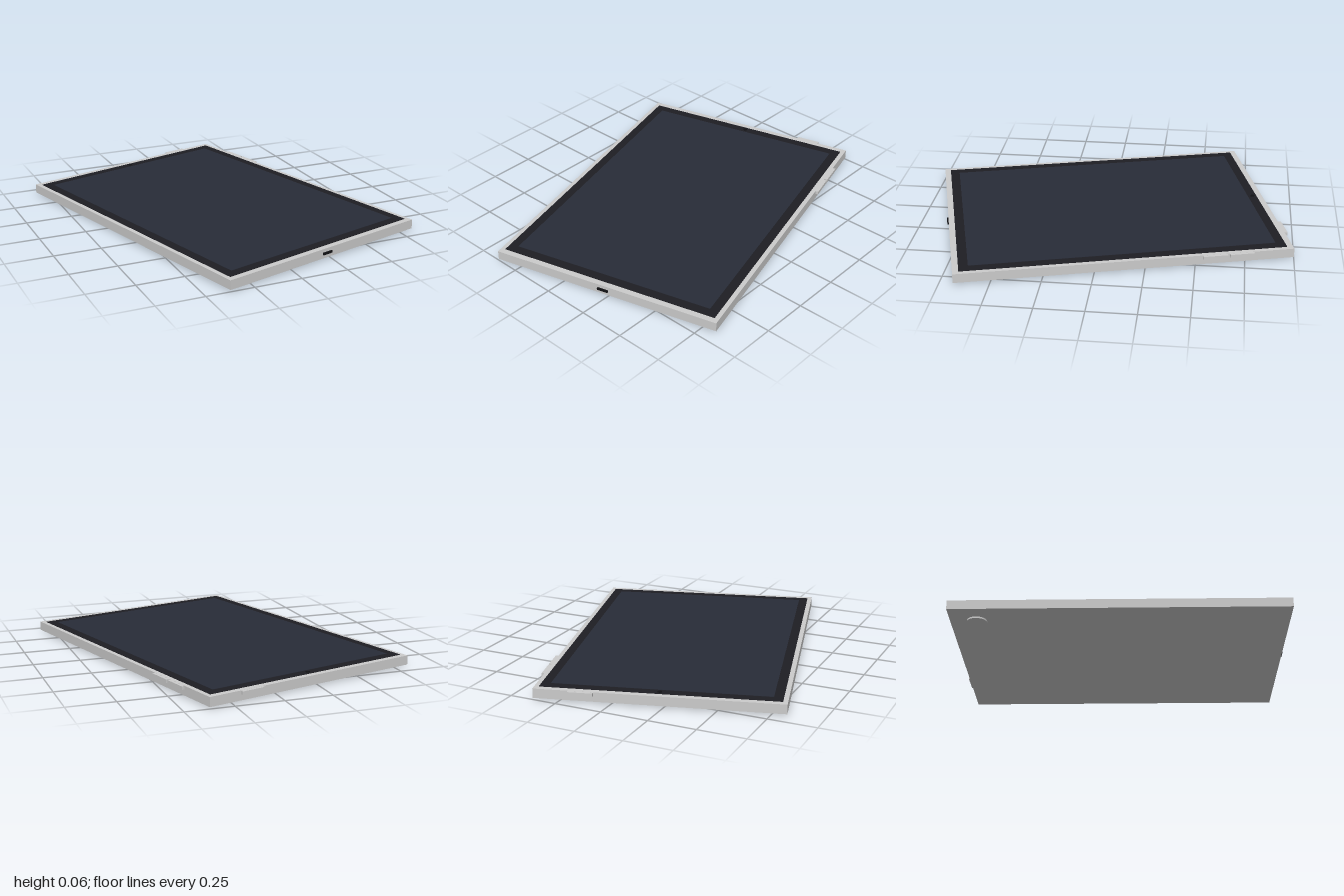
import * as THREE from 'three';

const grey = new THREE.MeshStandardMaterial({ color: 0xcccccc });
const bezelBlack = new THREE.MeshStandardMaterial({ color: 0x1e1e23 });
const glass = new THREE.MeshStandardMaterial({ color: 0x282c38 });
const black = new THREE.MeshStandardMaterial({ color: 0x111114 });

export function createModel() {
  const tablet = new THREE.Group();
  tablet.name = 'tablet';

  const add = (name, geometry, material, x, y, z) => {
    const mesh = new THREE.Mesh(geometry, material);
    mesh.name = name;
    mesh.position.set(x, y, z);
    tablet.add(mesh);
    return mesh;
  };
  // Box given by its footprint and its bottom and top heights
  const slab = (name, material, w, d, y0, y1, x = 0, z = 0) =>
    add(name, new THREE.BoxGeometry(w, y1 - y0, d), material, x, (y0 + y1) / 2, z);

  // Case, bezel and display, stacked
  slab('body', grey, 1.243, 1.738, 0.009, 0.058);
  slab('bezel', bezelBlack, 1.195, 1.675, 0.056, 0.06);
  slab('screen', glass, 1.1, 1.577, 0.058, 0.0615);

  // Front camera in the top bezel
  add('frontCamera', new THREE.CylinderGeometry(0.011, 0.011, 0.005, 24), black, 0, 0.0605, -0.815);

  // Rear camera under the case
  add('rearCamera', new THREE.CylinderGeometry(0.052, 0.052, 0.012, 32), grey, -0.487, 0.006, -0.731);

  // Volume buttons on the long edge, power button on the short edge
  for (const [name, z] of [['volumeUpButton', -0.594], ['volumeDownButton', -0.456]]) {
    slab(name, grey, 0.03, 0.127, 0.04, 0.0575, 0.622, z);
  }
  slab('powerButton', grey, 0.127, 0.03, 0.04, 0.0575, 0.381, -0.871);

  // Charging port on the bottom edge
  slab('chargingPort', black, 0.06, 0.016, 0.029, 0.04, 0, 0.869);

  // The tablet lies turned on the ground
  tablet.rotation.y = THREE.MathUtils.degToRad(15);
  const model = new THREE.Group();
  model.add(tablet);
  return model;
}
